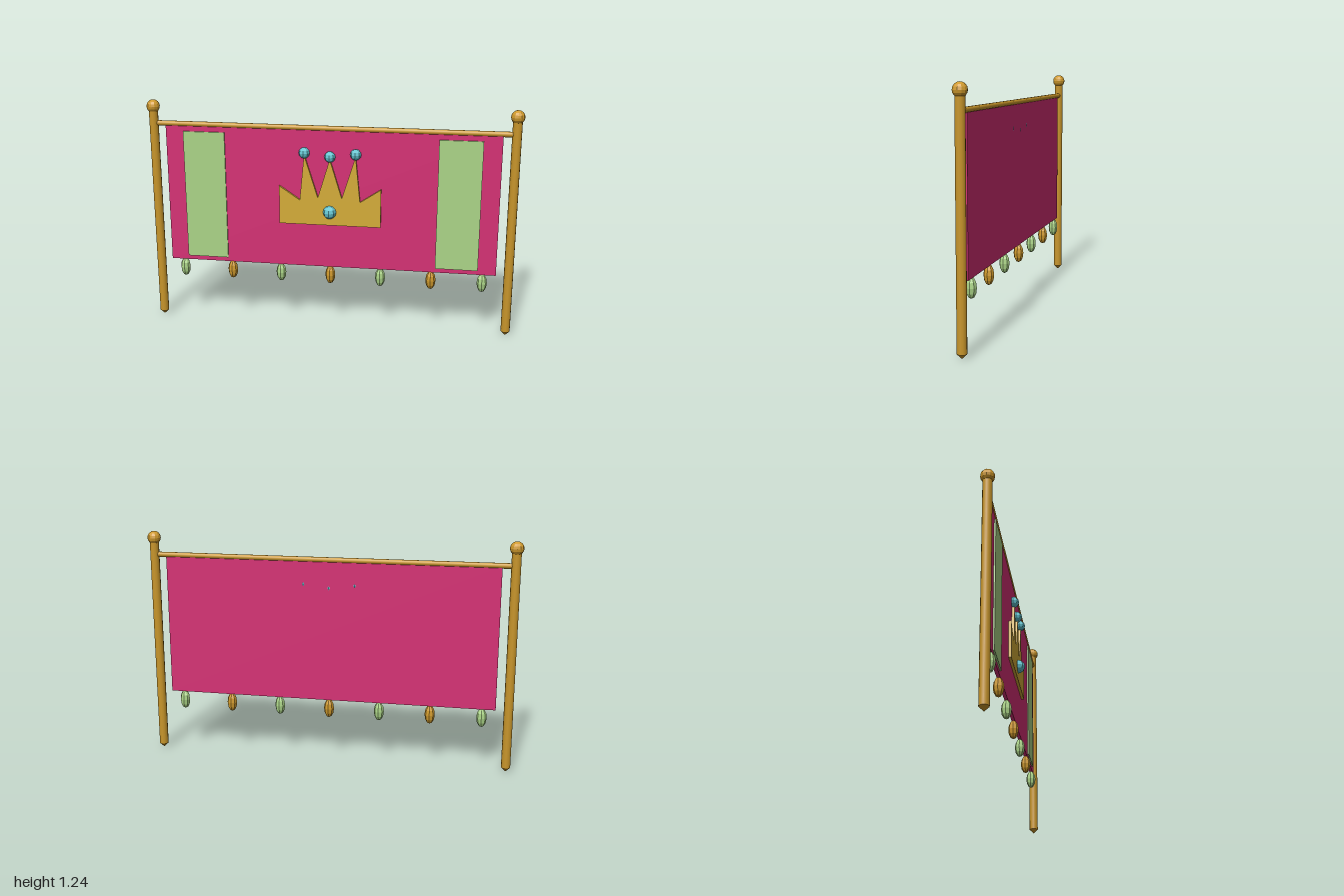
import * as THREE from 'three';

const mat = (name, color, flatShading = false) => {
  const m = new THREE.MeshStandardMaterial({ color, flatShading });
  m.name = name;
  return m;
};

export function createModel() {
  const root = new THREE.Group();
  root.name = 'banner';
  const Z = -0.013; // plane of the poles, rail and cloth

  const wood = mat('golden wood', 0xc9962a);
  const bead = mat('golden bead', 0xd09a2c, true);
  const gold = mat('crown gold', 0xd4ac37);
  const pink = mat('pink cloth', 0xd52f74);
  const green = mat('pale green', 0xabd487);
  const greenBead = mat('green bead', 0xabd487, true);
  const teal = mat('teal jewel', 0x62c4d0, true);

  const add = (name, geometry, material, x, y, z = Z) => {
    const mesh = new THREE.Mesh(geometry, material);
    mesh.name = name;
    mesh.position.set(x, y, z);
    root.add(mesh);
    return mesh;
  };

  // Poles with pointed feet and ball finials
  for (const [side, s] of [['left', 1], ['right', -1]]) {
    const x = 0.964 * s;
    add(side + 'Pole', new THREE.CylinderGeometry(0.0245, 0.0245, 1.168, 12), wood, x, 0.606);
    add(side + 'PoleTip', new THREE.CylinderGeometry(0.0245, 0.002, 0.022, 12), wood, x, 0.011);
    add(side + 'Finial', new THREE.SphereGeometry(0.036, 12, 8), bead, x, 1.203);
  }

  // Top rail
  add('rail', new THREE.CylinderGeometry(0.0145, 0.0145, 1.9, 10), wood, 0, 1.112).rotation.z = Math.PI / 2;

  // Hanging cloth and its two side panels
  add('cloth', new THREE.BoxGeometry(1.794, 0.768, 0.018), pink, 0, 0.726);
  for (const [side, s] of [['left', 1], ['right', -1]])
    add(side + 'Panel', new THREE.BoxGeometry(0.228, 0.707, 0.009), green, 0.686 * s, 0.72, -0.0005);

  // Crown: right half of the outline, mirrored
  const half = [[0.275, 0.585], [0.275, 0.795], [0.163, 0.72], [0.138, 0.97], [0.065, 0.737]];
  const outline = [...half, [0, 0.95], ...half.map(([x, y]) => [-x, y]).reverse()];
  const crown = new THREE.Shape(outline.map(([x, y]) => new THREE.Vector2(x, y)));
  add('crown', new THREE.ExtrudeGeometry(crown, { depth: 0.017, bevelEnabled: false }), gold, 0, 0, -0.006);

  // Jewels on the crown
  for (const [x, y, r, z] of [[-0.138, 0.98, 0.03, 0.005], [0, 0.963, 0.03, 0.005], [0.138, 0.98, 0.03, 0.005], [0, 0.659, 0.036, 0.0138]])
    add('jewel', new THREE.SphereGeometry(r, 8, 6), teal, x, y, z);

  // Row of alternating drops along the hem
  for (let i = 0; i < 7; i++) {
    const drop = new THREE.SphereGeometry(0.0275, 8, 6).scale(1, 1.9, 1);
    add('hemDrop', drop, i % 2 ? bead : greenBead, -0.825 + 0.275 * i, 0.294);
  }
  return root;
}
